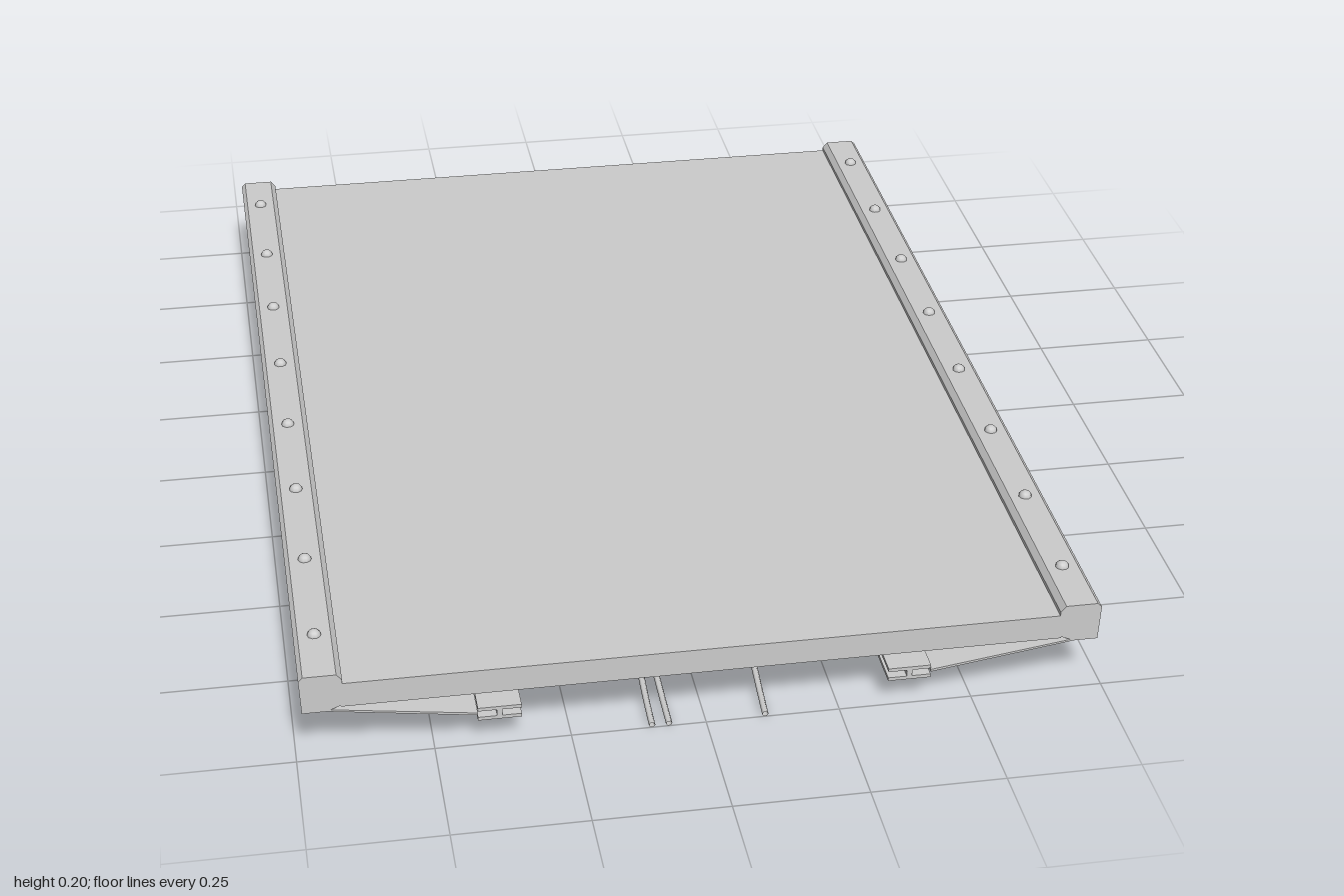
import * as THREE from 'three';

const grey = new THREE.MeshStandardMaterial({ color: 0xcccccc, side: THREE.DoubleSide });
const flat = new THREE.MeshStandardMaterial({ color: 0xcccccc, side: THREE.DoubleSide, flatShading: true });

function add(parent, name, geometry, material = grey) {
  const mesh = new THREE.Mesh(geometry, material);
  mesh.name = name;
  parent.add(mesh);
  return mesh;
}

function box(parent, name, w, h, d, x, y, z) {
  const mesh = add(parent, name, new THREE.BoxGeometry(w, h, d));
  mesh.position.set(x, y, z);
  return mesh;
}

// A profile in x and y, run along the whole length
function extrudeAlong(parent, name, points, length = 2) {
  const shape = new THREE.Shape(points.map(([x, y]) => new THREE.Vector2(x, y)));
  const geometry = new THREE.ExtrudeGeometry(shape, { depth: length, bevelEnabled: false });
  geometry.translate(0, 0, -length / 2);
  return add(parent, name, geometry, flat);
}

// A straight round bar between two points
function bar(parent, name, a, b, radius) {
  const from = new THREE.Vector3(...a), to = new THREE.Vector3(...b);
  const dir = to.clone().sub(from);
  const mesh = add(parent, name, new THREE.CylinderGeometry(radius, radius, dir.length(), 6));
  mesh.position.copy(from).add(to).multiplyScalar(0.5);
  mesh.quaternion.setFromUnitVectors(new THREE.Vector3(0, 1, 0), dir.normalize());
}

const stations = [-0.75, -0.25, 0.25, 0.75];

function createSide(s) {
  const side = new THREE.Group();
  side.name = s > 0 ? 'leftSide' : 'rightSide';

  // Chamfered edge rail
  extrudeAlong(side, 'edgeRail', [
    [0.735, 0.112], [0.69, 0.112], [0.66, 0.125], [0.66, 0.178],
    [0.67, 0.19], [0.73, 0.19], [0.738, 0.182],
  ].map(([x, y]) => [s * x, y]));

  // Rivets along the rail
  for (let i = 0; i < 8; i++) {
    const rivet = add(side, 'rivet', new THREE.SphereGeometry(0.013, 10, 4, 0, Math.PI * 2, 0, Math.PI / 2));
    rivet.position.set(s * 0.7, 0.189, -0.88 + i * 0.25);
  }

  // Lengthwise I-beam
  extrudeAlong(side, 'lengthBeam', [
    [0.34, 0.06], [0.42, 0.06], [0.42, 0.067], [0.385, 0.067], [0.385, 0.08], [0.42, 0.08],
    [0.42, 0.087], [0.34, 0.087], [0.34, 0.08], [0.375, 0.08], [0.375, 0.067], [0.34, 0.067],
  ].map(([x, y]) => [s * x, y]));

  // Sloping soffit between beam and rail
  extrudeAlong(side, 'soffit', [
    [0.42, 0.072], [0.69, 0.112], [0.69, 0.116], [0.42, 0.077],
  ].map(([x, y]) => [s * x, y]));

  // Paired diagonal braces
  for (const z of stations) {
    for (const t of [-1, 1]) {
      bar(side, 'brace', [s * 0.42, 0.07, z + t * 0.17], [s * 0.68, 0.11, z + t * 0.04], 0.005);
    }
  }

  // Tapered flaps leaning outwards
  for (const z of [-0.5, 0.5]) {
    const shape = new THREE.Shape([[-0.033, 0], [0.033, 0], [0.022, -0.076], [-0.01, -0.07]]
      .map(([x, y]) => new THREE.Vector2(x, y)));
    const geometry = new THREE.ExtrudeGeometry(shape, { depth: 0.006, bevelEnabled: false });
    geometry.translate(0, 0, -0.003);
    geometry.rotateY(Math.PI / 2);
    const flap = add(side, 'flap', geometry, flat);
    flap.position.set(s * 0.7, 0.115, z);
    flap.rotation.z = s * 0.38;
  }

  // Hanging lamp
  const lamp = add(side, 'lamp', new THREE.LatheGeometry([
    [0, 0.105], [0.025, 0.105], [0.027, 0.096], [0.021, 0.094], [0.024, 0.085], [0.024, 0.065],
    [0.018, 0.052], [0.012, 0.045], [0.012, 0.035], [0.019, 0.024], [0.019, 0.018], [0, 0.018],
  ].map(([x, y]) => new THREE.Vector2(x, y)).reverse(), 16));
  lamp.position.x = s * 0.63;

  return side;
}

export function createModel() {
  const model = new THREE.Group();
  model.name = 'deckSection';

  box(model, 'deck', 1.33, 0.05, 2, 0, 0.145, 0);
  model.add(createSide(1), createSide(-1));

  // Cross beams with cable hangers below
  for (const z of stations) {
    box(model, 'crossBeam', 0.86, 0.027, 0.028, 0, 0.0735, z);
    box(model, 'cableHanger', 0.245, 0.008, 0.02, 0.007, 0.056, z);
  }

  // Cables sagging between the hangers
  [-0.095, -0.073, 0.108].forEach((x, k) => {
    const points = [];
    for (let i = 0; i <= 32; i++) {
      const z = -1 + i / 16;
      const lift = Math.pow(Math.abs(Math.sin(Math.PI * 2 * z)), 1.4);
      points.push(new THREE.Vector3(x + 0.006 * Math.sin(5 * z + k * 2), 0.012 + 0.038 * lift, z));
    }
    add(model, 'cable', new THREE.TubeGeometry(new THREE.CatmullRomCurve3(points), 64, 0.006, 6));
  });

  return model;
}
